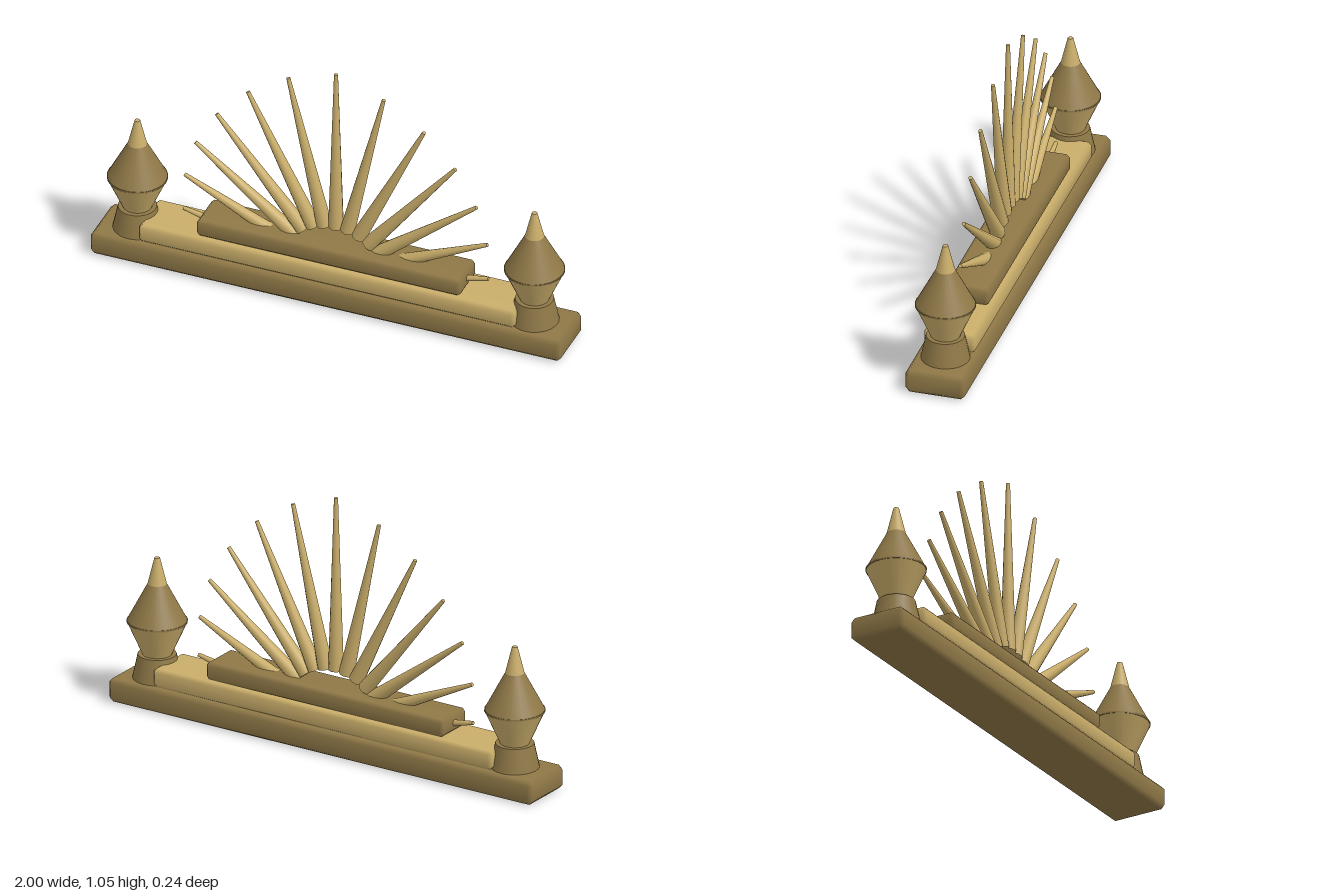
import * as THREE from 'three';
import { mergeVertices } from 'three/addons/utils/BufferGeometryUtils.js';
import { ConvexGeometry } from 'three/addons/geometries/ConvexGeometry.js';

// Box with chamfered edges and softly blended normals
function chamferBox(w, h, d, c) {
  const points = [];
  for (const sx of [-1, 1]) for (const sy of [-1, 1]) for (const sz of [-1, 1]) {
    const x = w / 2, y = h / 2, z = d / 2;
    points.push(
      new THREE.Vector3(sx * x, sy * (y - c), sz * (z - c)),
      new THREE.Vector3(sx * (x - c), sy * y, sz * (z - c)),
      new THREE.Vector3(sx * (x - c), sy * (y - c), sz * z));
  }
  const hull = new ConvexGeometry(points);
  hull.deleteAttribute('normal');
  const geometry = mergeVertices(hull, 1e-4);
  geometry.computeVertexNormals();
  return geometry;
}

export function createModel() {
  const model = new THREE.Group();
  model.name = 'sunburstCrest';
  const gold = new THREE.MeshStandardMaterial({ color: 0xc9ad6a });
  gold.name = 'pale gold';
  const bronze = new THREE.MeshStandardMaterial({ color: 0x8f7847 });
  bronze.name = 'dark bronze';

  const add = (parent, name, geometry, material, x = 0, y = 0, z = 0) => {
    const mesh = new THREE.Mesh(geometry, material);
    mesh.name = name;
    mesh.position.set(x, y, z);
    parent.add(mesh);
    return mesh;
  };

  // Three stacked tiers
  add(model, 'lowerTier', chamferBox(2, 0.1, 0.244, 0.017), bronze, 0, 0.05);
  add(model, 'middleTier', chamferBox(1.6, 0.08, 0.21, 0.014), gold, 0, 0.14);
  add(model, 'upperTier', chamferBox(1.12, 0.075, 0.176, 0.013), bronze, 0, 0.2175);

  // Finials at both ends: foot, bowl, rim, cone and tip
  const section = (parent, name, y0, r0, y1, r1, material) =>
    add(parent, name, new THREE.CylinderGeometry(r1, r0, y1 - y0, 28), material, 0, (y0 + y1) / 2);
  for (const side of [-1, 1]) {
    const finial = new THREE.Group();
    finial.name = side > 0 ? 'leftFinial' : 'rightFinial';
    finial.position.x = side * 0.845;
    section(finial, 'foot', 0.1, 0.098, 0.2, 0.077, bronze);
    section(finial, 'bowl', 0.198, 0.058, 0.336, 0.119, gold);
    section(finial, 'rim', 0.336, 0.121, 0.343, 0.121, bronze);
    section(finial, 'roof', 0.343, 0.119, 0.497, 0.038, bronze);
    section(finial, 'tip', 0.497, 0.038, 0.607, 0.011, gold);
    model.add(finial);
  }

  // Fan of tapering rays, longest in the middle
  const rays = new THREE.Group();
  rays.name = 'rays';
  rays.position.y = 0.1;
  const inner = 0.22;
  for (let i = -6; i <= 6; i++) {
    const length = 0.95 - 0.0478 * Math.abs(i) - inner;
    const geometry = new THREE.CylinderGeometry(0.008, 0.031, length, 12);
    geometry.translate(0, inner + length / 2, 0);
    add(rays, 'ray', geometry, gold).rotation.z = THREE.MathUtils.degToRad(-13 * i);
  }
  model.add(rays);

  return model;
}
